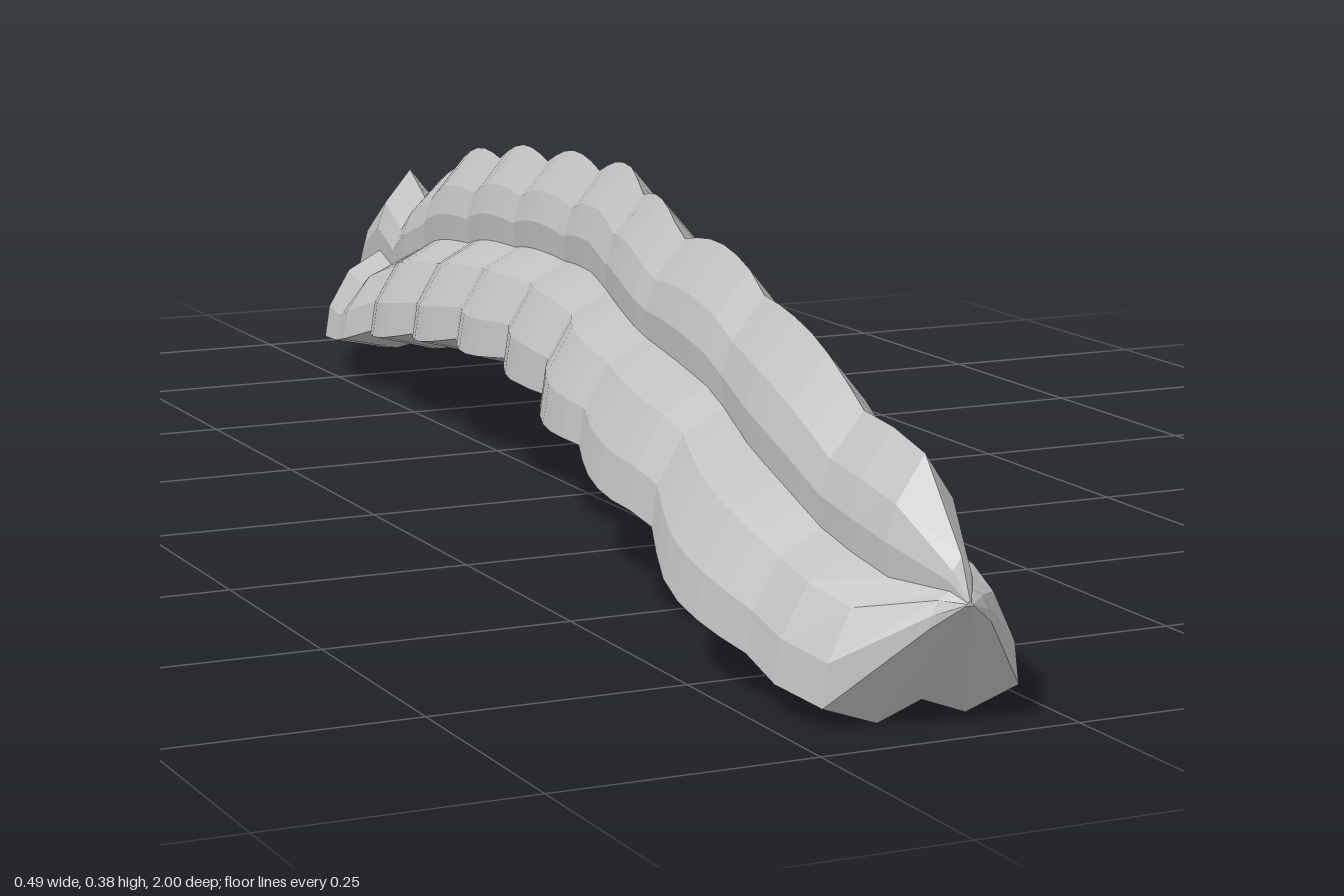
import * as THREE from 'three';

// Stations along the body: z, underside y, crest y, half width, spine x
const STATIONS = [
  [1, 0.11, 0.115, 0.004, -0.11], [0.985, 0.085, 0.15, 0.03, -0.11],
  [0.93, 0, 0.22, 0.09, -0.115], [0.85, 0.015, 0.25, 0.122, -0.12],
  [0.7, 0.06, 0.3, 0.124, -0.117], [0.6, 0.1, 0.335, 0.122, -0.11],
  [0.4, 0.13, 0.35, 0.121, -0.09], [0.15, 0.138, 0.366, 0.121, -0.02],
  [0, 0.135, 0.358, 0.121, 0.01], [-0.2, 0.12, 0.342, 0.121, 0.04],
  [-0.4, 0.09, 0.32, 0.121, 0.07], [-0.6, 0.06, 0.285, 0.123, 0.1],
  [-0.72, 0.035, 0.215, 0.124, 0.11], [-0.79, 0.024, 0.248, 0.117, 0.115],
  [-0.9, 0.022, 0.185, 0.07, 0.12], [-1, 0.045, 0.062, 0.004, 0.12],
];

// Half cross-section, crest to belly: fraction of half width, fraction of height
const PROFILE = [
  [0, 1], [0.29, 0.82], [0.38, 0.68], [0.36, 0.55], [0.72, 0.45],
  [0.95, 0.25], [1, 0.08], [0.45, 0], [0, 0.07],
];
const SECTION = [...PROFILE, ...PROFILE.slice(1, -1).reverse().map(([u, v]) => [-u, v])];

const PITCH = 0.205, FIRST_NOTCH = 0.83;

function station(z) {
  let i = 0;
  while (i < STATIONS.length - 2 && z < STATIONS[i + 1][0]) i++;
  const a = STATIONS[i], b = STATIONS[i + 1];
  const t = (z - a[0]) / (b[0] - a[0]);
  return a.map((v, k) => v + (b[k] - v) * t);
}

// Rounded swelling of each body segment, sharp at the notches between them
function swell(z) {
  if (z > 0.93 || z < -0.7) return 0.5;
  return Math.abs(Math.sin(Math.PI * (FIRST_NOTCH - z) / PITCH));
}

function ring(z) {
  const [, low, high, half, x] = station(z);
  const s = swell(z) - 0.5;
  const width = half * (1 + 0.14 * s);
  const top = high + (high - low) * 0.075 * s;
  const base = low - (high - low) * 0.03 * s;
  return SECTION.map(([u, v]) => [x + u * width, base + v * (top - base), z]);
}

export function createModel() {
  const grey = new THREE.MeshStandardMaterial({ color: 0xc0c0c0, flatShading: true });
  grey.name = 'pale grey';

  // Rings at both ends plus six per segment in between
  const zs = [1, 0.985, 0.93, 0.88, -0.72, -0.755, -0.79, -0.84, -0.9, -0.95, -1];
  for (let z = FIRST_NOTCH; z > -0.68; z -= PITCH / 6) zs.push(z);
  zs.sort((a, b) => b - a);
  const rings = zs.map(ring);
  const n = SECTION.length;
  const index = [];
  for (let i = 0; i < rings.length - 1; i++) {
    for (let j = 0; j < n; j++) {
      const k = (j + 1) % n;
      const a = i * n + j, b = i * n + k, c = a + n, d = b + n;
      index.push(a, b, c, b, d, c);
    }
  }
  // Close the tiny tips
  const last = (rings.length - 1) * n;
  for (let j = 1; j < n - 1; j++) {
    index.push(0, j + 1, j, last, last + j, last + j + 1);
  }
  const geometry = new THREE.BufferGeometry();
  geometry.setAttribute('position', new THREE.Float32BufferAttribute(rings.flat(2), 3));
  geometry.setIndex(index);
  geometry.computeVertexNormals();

  const body = new THREE.Mesh(geometry, grey);
  body.name = 'segmentedBody';
  const group = new THREE.Group();
  group.name = 'archedGrub';
  group.add(body);
  return group;
}
